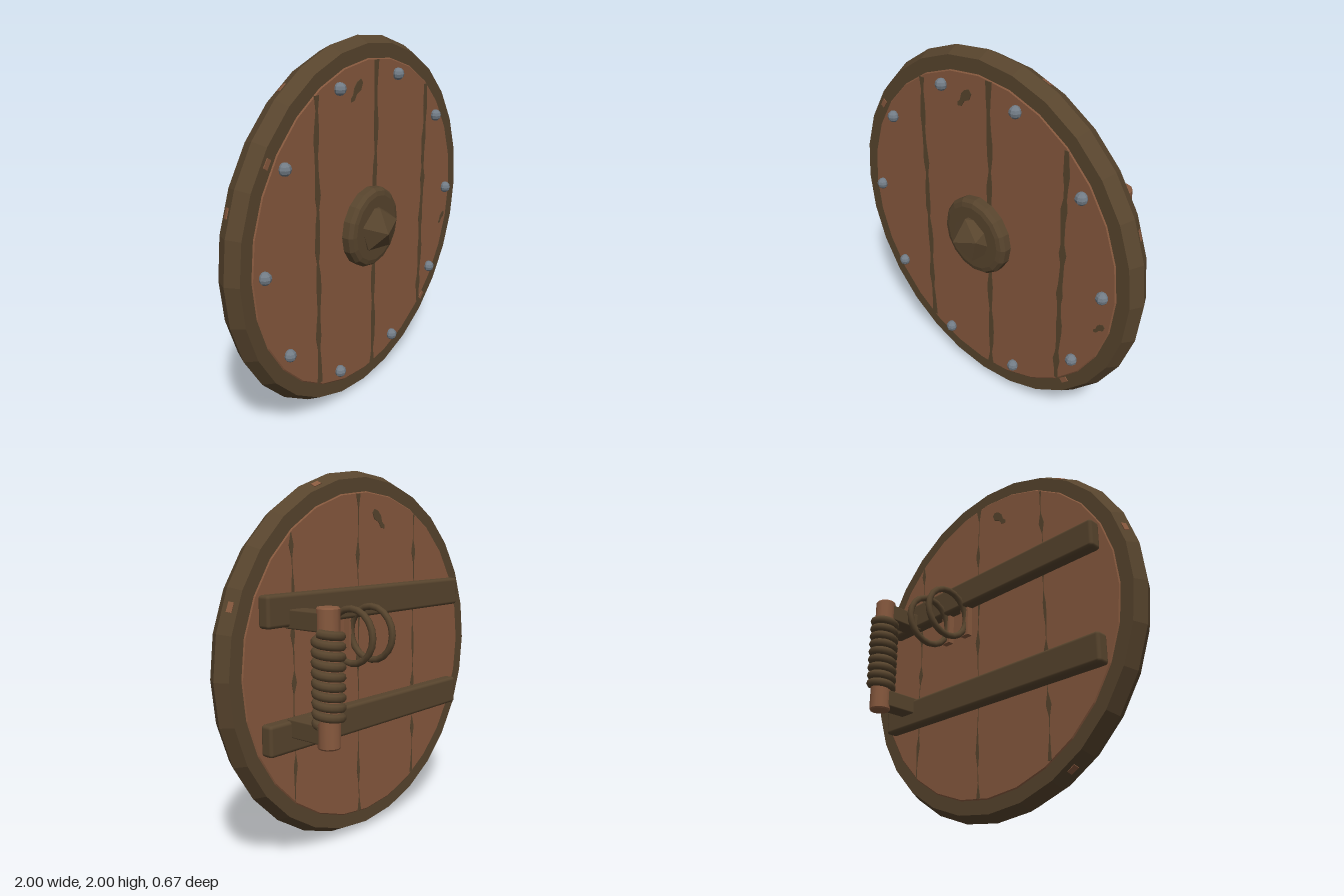
import * as THREE from 'three';
import { toCreasedNormals } from 'three/addons/utils/BufferGeometryUtils.js';
import { RoundedBoxGeometry } from 'three/addons/geometries/RoundedBoxGeometry.js';

const SIDES = 28;
const STEP = (Math.PI * 2) / SIDES;

function material(name, color) {
  const m = new THREE.MeshStandardMaterial({ color });
  m.name = name;
  return m;
}

const flat = (g) => toCreasedNormals(g, 0.02);

// Lathe turned so that its axis is +z; profile is [radius, z] pairs
function turned(profile, sides) {
  const g = new THREE.LatheGeometry(profile.map(([r, z]) => new THREE.Vector2(r, z)), sides);
  return flat(g.rotateX(Math.PI / 2));
}

// Irregular vertical seam between planks
function seamShape(x, seed, width, gap) {
  const half = Math.sqrt(0.885 ** 2 - x * x) - 0.005;
  const n = 22, left = [], right = [];
  for (let i = 0; i <= n; i++) {
    const y = -half + (2 * half * i) / n;
    const wave = 0.5 + 0.3 * Math.sin(i * 1.7 + seed) + 0.2 * Math.sin(i * 2.9 + seed * 3);
    const w = Math.max(0.001, width * (wave * (1 + gap) - gap) + 0.006 * (1 - gap));
    const drift = 0.004 * Math.sin(i * 0.9 + seed * 2);
    left.push(new THREE.Vector2(x + drift - w, y));
    right.push(new THREE.Vector2(x + drift + w, y));
  }
  return new THREE.Shape([...right, ...left.reverse()]);
}

// Comma-shaped wood knot
function knotShape(x, y, s) {
  const pts = [[-0.048, -0.05], [-0.02, -0.046], [0, -0.015], [0.035, 0.0], [0.05, 0.035],
    [0.035, 0.055], [0.005, 0.045], [-0.02, 0.02], [-0.03, -0.015], [-0.048, -0.03]];
  return new THREE.Shape(pts.map(([a, b]) => new THREE.Vector2(x + a * s, y + b * s)));
}

class Helix extends THREE.Curve {
  constructor(radius, height, turns) {
    super();
    Object.assign(this, { radius, height, turns });
  }
  getPoint(t, target = new THREE.Vector3()) {
    const a = t * this.turns * Math.PI * 2;
    return target.set(Math.cos(a) * this.radius, (t - 0.5) * this.height, Math.sin(a) * this.radius);
  }
}

export function createModel() {
  const wood = material('reddish wood', 0x87593e);
  const dark = material('dark brown', 0x57442d);
  const metal = material('grey metal', 0x727c86);

  const root = new THREE.Group();
  root.name = 'roundShield';
  const shield = new THREE.Group();
  shield.name = 'shield';
  shield.position.y = 1;
  root.add(shield);

  function add(name, geometry, mat, x = 0, y = 0, z = 0) {
    const mesh = new THREE.Mesh(geometry, mat);
    mesh.name = name;
    mesh.position.set(x, y, z);
    shield.add(mesh);
    return mesh;
  }

  // Plank disc and bevelled rim
  add('plankDisc', turned([[0, 0.02], [0.885, 0.02], [0.895, 0.028], [0.895, 0.157], [0.885, 0.165], [0, 0.165]], SIDES), wood);
  add('rim', turned([[0.87, 0.025], [0.965, 0.025], [1, 0.093], [0.965, 0.16], [0.87, 0.16]], SIDES), dark);

  // Seams and knots as thin plates, wide in front and broken behind
  const plate = (shape) => new THREE.ExtrudeGeometry(shape, { depth: 0.006, bevelEnabled: false });
  [-0.42, 0.07, 0.56].forEach((x, i) => {
    add('frontSeam', plate(seamShape(x, i * 2.1 + 0.5, 0.017, 0)), dark, 0, 0, 0.162);
    add('backSeam', plate(seamShape(x, i * 1.3 + 1, 0.016, 0.7)), dark, 0, 0, 0.017);
  });
  add('frontKnot', plate(knotShape(-0.1, 0.745, 1)), dark, 0, 0, 0.162);
  add('frontKnotSmall', plate(knotShape(0.81, -0.2, 0.65)), dark, 0, 0, 0.162);
  add('backKnot', plate(knotShape(-0.1, 0.745, 1)), dark, 0, 0, 0.017);

  // Worn chips on the rim: [side index, radius, z, tilt]
  const chips = [
    [11.3, 0.925, 0.16, -Math.PI / 2], [24.3, 0.905, 0.16, -Math.PI / 2],
    [1.6, 0.977, 0.06, 0.48], [5.4, 0.977, 0.06, 0.48], [9.6, 0.977, 0.06, 0.48],
    [12.5, 0.977, 0.06, 0.48], [18.5, 0.977, 0.06, 0.48],
  ];
  for (const [side, r, z, tilt] of chips) {
    const a = side * STEP;
    const chip = add('rimChip', new THREE.BoxGeometry(0.008, 0.05, 0.028), wood, Math.cos(a) * r, Math.sin(a) * r, z);
    chip.rotation.set(0, tilt, a, 'ZYX');
  }

  // Ring of rivets
  const rivet = flat(new THREE.SphereGeometry(0.033, 8, 6));
  for (let i = 0; i < 10; i++) {
    const a = (i * Math.PI) / 5;
    add('rivet', rivet, metal, Math.cos(a) * 0.82, Math.sin(a) * 0.82, 0.178);
  }

  // Central boss with a faceted stud
  add('boss', turned([[0, 0.15], [0.215, 0.15], [0.22, 0.165], [0.22, 0.205], [0.205, 0.225], [0.18, 0.232], [0, 0.232]], 16), dark);
  const stud = new THREE.IcosahedronGeometry(0.137, 0);
  stud.rotateX(Math.atan(2 / (1 + Math.sqrt(5)))).rotateZ(Math.PI).rotateY(-0.3);
  add('bossStud', stud, dark, 0, 0, 0.204);

  // Back braces and the arms that hold the grip
  for (const s of [1, -1]) {
    add('backBrace', new RoundedBoxGeometry(1.57, 0.16, 0.075, 2, 0.018), dark, -0.005, s * 0.312, -0.008);
    add('gripArm', new RoundedBoxGeometry(0.105, 0.095, 0.24, 1, 0.008), dark, 0.59, s * 0.27, -0.13);
  }

  // Grip bar wrapped in cord
  const bar = new THREE.LatheGeometry([[0, -0.34], [0.052, -0.34], [0.058, -0.332], [0.058, 0.332], [0.052, 0.34], [0, 0.34]]
    .map(([r, y]) => new THREE.Vector2(r, y)), 12);
  add('gripBar', toCreasedNormals(bar, 0.6), wood, 0.59, 0, -0.247);
  add('gripCord', new THREE.TubeGeometry(new Helix(0.062, 0.44, 9), 160, 0.023, 8), dark, 0.59, 0, -0.247);

  // Pair of strap rings with their wall plates
  const ring = new THREE.TorusGeometry(0.14, 0.018, 8, 20).rotateY(Math.PI / 2);
  for (const x of [0.153, 0.308]) {
    add('strapRing', ring, dark, x, 0.16, -0.142);
    add('strapPlate', new THREE.BoxGeometry(0.06, 0.18, 0.05), wood, x, 0.15, 0.01);
  }
  return root;
}
